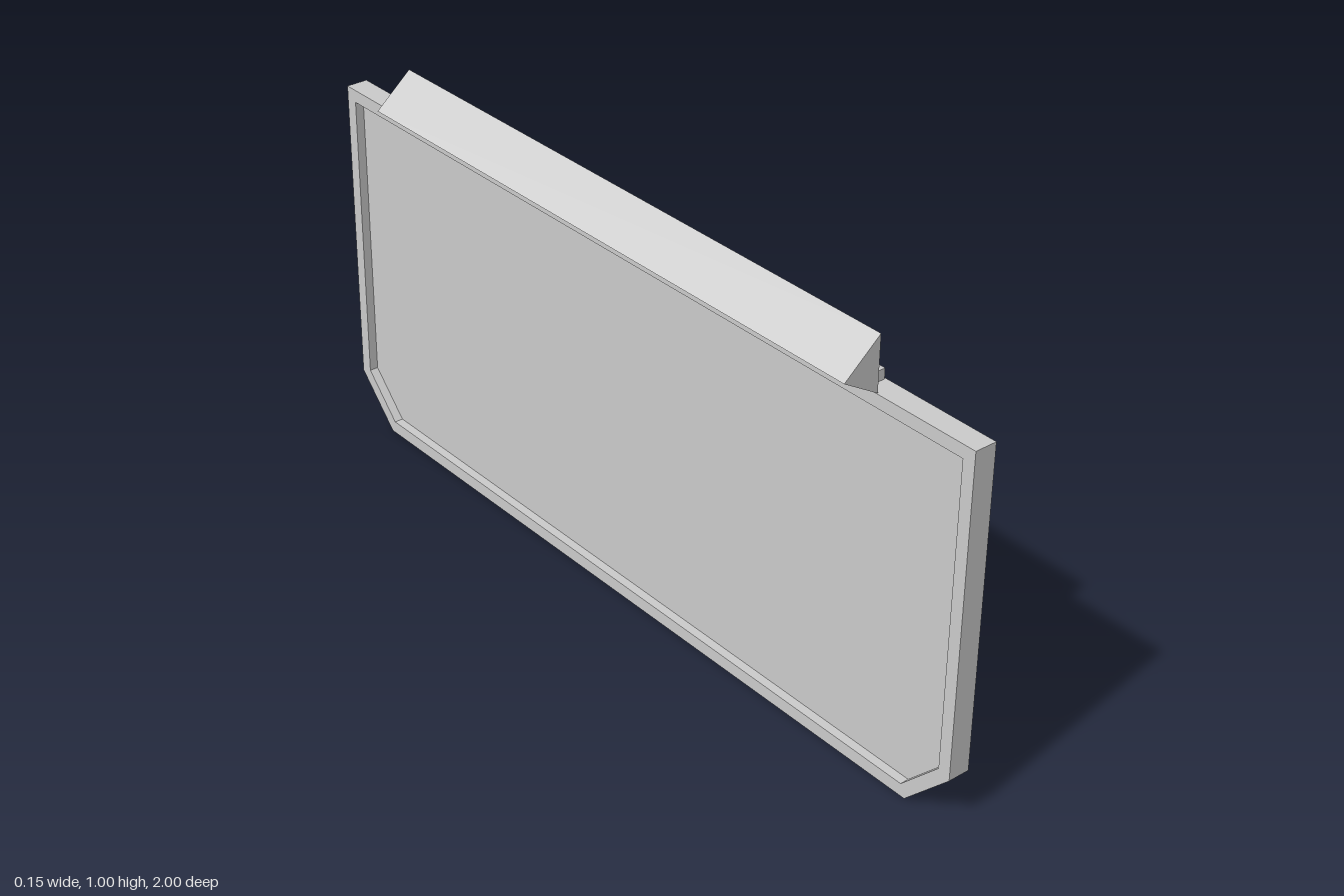
import * as THREE from 'three';
import { toCreasedNormals } from 'three/addons/utils/BufferGeometryUtils.js';

const material = new THREE.MeshStandardMaterial({ color: 0xcccccc });

const polygon = (points) => new THREE.Shape(points.map(([x, y]) => new THREE.Vector2(x, y)));

function addMesh(parent, name, geometry) {
  const mesh = new THREE.Mesh(toCreasedNormals(geometry, 0.6), material);
  mesh.name = name;
  parent.add(mesh);
}

// Outline in the z-y plane, given thickness from x0 to x1
function slab(shape, x0, x1) {
  const g = new THREE.ExtrudeGeometry(shape, { depth: x1 - x0, bevelEnabled: false, curveSegments: 8 });
  return g.rotateY(Math.PI / 2).translate(x0, 0, 0);
}

// Profile in the x-y plane, run along z from z0 to z1
function bar(points, z0, z1) {
  const g = new THREE.ExtrudeGeometry(polygon(points), { depth: z1 - z0, bevelEnabled: false });
  return g.translate(0, 0, z0);
}

// Plate outline with two cut lower corners, shrunk by an inset
function plateOutline(inset) {
  const w = 1 - inset, bottom = inset, top = 0.866 - inset;
  const cutY = 0.117 + inset * 0.41, cutW = 0.885 - inset * 0.41;
  return [[-cutW, bottom], [cutW, bottom], [w, cutY], [w, top], [-w, top], [-w, cutY]];
}

function roundedRect(w, y0, y1, r) {
  const s = new THREE.Shape();
  s.moveTo(-w + r, y0).lineTo(w - r, y0);
  s.absarc(w - r, y0 + r, r, -Math.PI / 2, 0);
  s.absarc(w - r, y1 - r, r, 0, Math.PI / 2);
  s.absarc(-w + r, y1 - r, r, Math.PI / 2, Math.PI);
  s.absarc(-w + r, y0 + r, r, Math.PI, Math.PI * 1.5);
  return s;
}

export function createModel() {
  const model = new THREE.Group();
  model.name = 'hangingPanel';

  // Plate with a shallow recess framed by a rim
  addMesh(model, 'plate', slab(polygon(plateOutline(0)), 0.031, 0.062));
  const rim = polygon(plateOutline(0));
  rim.holes.push(polygon(plateOutline(0.03)));
  addMesh(model, 'rim', slab(rim, 0.01, 0.031));

  // Raised rounded panel on the other side
  addMesh(model, 'raisedPanel', slab(roundedRect(0.79, 0.195, 0.678, 0.09), 0.06, 0.074));

  // Triangular rail along the top
  addMesh(model, 'rail', bar([[0.01, 0.868], [0.01, 0.995], [-0.077, 0.92]], -0.747, 0.747));

  // Strip joining the hooks to the plate
  addMesh(model, 'hookStrip', bar([[0.026, 0.86], [0.058, 0.86], [0.058, 0.89], [0.026, 0.89]], -0.715, 0.715));

  // Two curved hooks reaching over to the rail
  const hookProfile = [
    [0.026, 0.885], [0.058, 0.885], [0.057, 0.92], [0.047, 0.96], [0.01, 0.98],
    [0.01, 0.946], [0.021, 0.94], [0.026, 0.922],
  ];
  for (const side of [-1, 1]) {
    addMesh(model, side > 0 ? 'frontHook' : 'backHook',
      bar(hookProfile, side * 0.287 - 0.142, side * 0.287 + 0.142));
  }
  return model;
}
